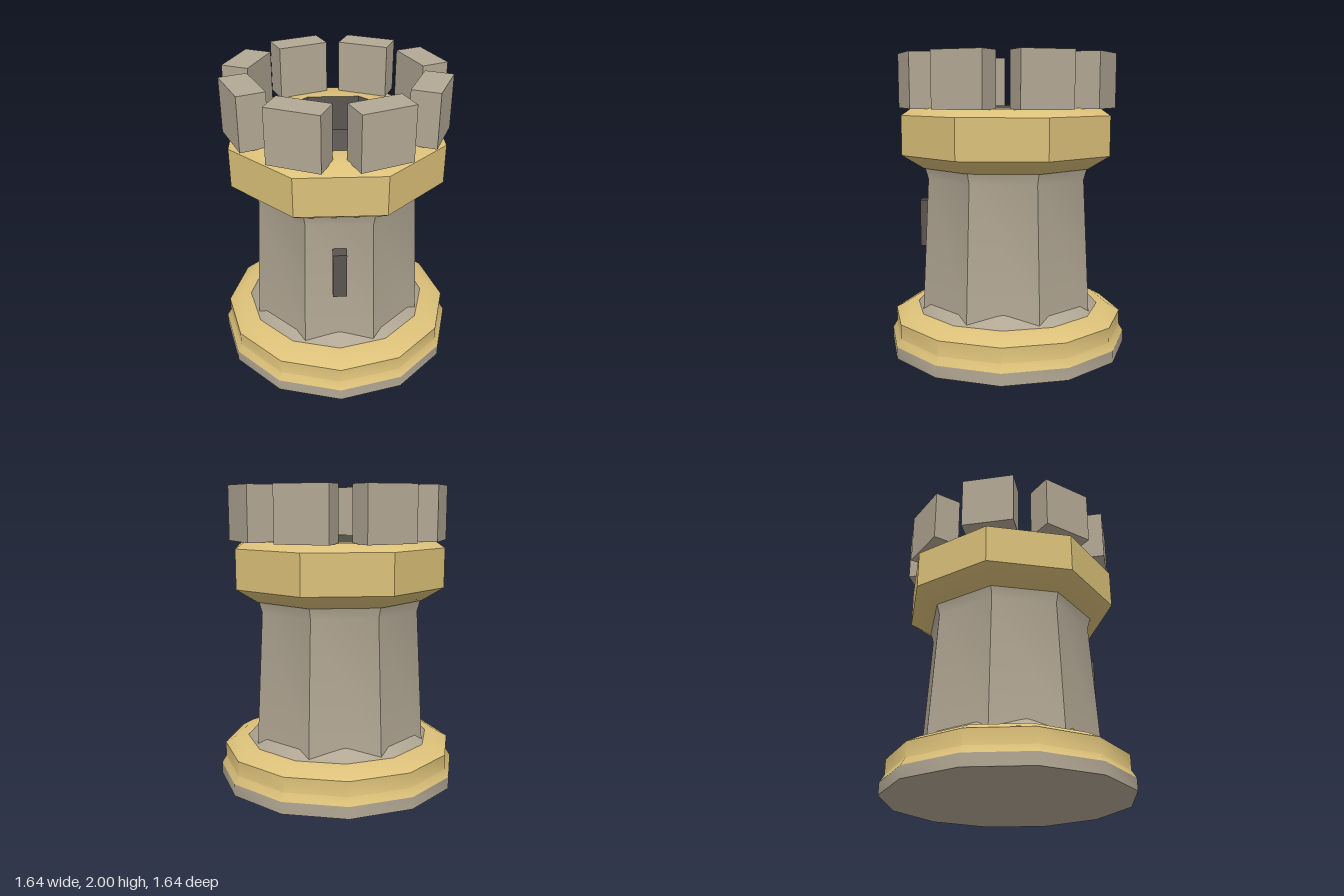
import * as THREE from 'three';
import { toCreasedNormals } from 'three/addons/utils/BufferGeometryUtils.js';

const material = (name, color) => {
  const m = new THREE.MeshStandardMaterial({ color });
  m.name = name;
  return m;
};

export function createModel() {
  const tower = new THREE.Group();
  tower.name = 'castleTower';
  const stone = material('stone', 0xb3a895);
  const gold = material('gold', 0xdcc179);
  const dark = material('dark', 0x5a5550);

  const add = (name, geometry, mat, parent = tower) => {
    const mesh = new THREE.Mesh(geometry, mat);
    mesh.name = name;
    parent.add(mesh);
    return mesh;
  };

  // Many-sided turned part; profile is [radius, y] listed from bottom to top
  const turned = (name, profile, sides, mat) => {
    const points = profile.map(([r, y]) => new THREE.Vector2(r, y));
    const start = sides === 8 ? Math.PI / 8 : 0;
    const geometry = new THREE.LatheGeometry(points, sides, start);
    return add(name, toCreasedNormals(geometry, 0.63), mat);
  };

  // Octagon profiles are given by the distance to the flats
  const octagon = (name, profile, mat) =>
    turned(name, profile.map(([a, y]) => [a / Math.cos(Math.PI / 8), y]), 8, mat);

  // Twelve-sided base
  turned('baseFoot', [[0, 0], [0.82, 0], [0.82, 0.08]], 12, stone);
  turned('baseRing', [[0.82, 0.08], [0.79, 0.13], [0.79, 0.23], [0.7, 0.28], [0.5, 0.28]], 12, gold);
  turned('baseSkirt', [[0.635, 0.275], [0.565, 0.35], [0.5, 0.4]], 12, stone);

  // Octagonal shaft and collar
  octagon('shaft', [[0.56, 0.26], [0.513, 1.18], [0.535, 1.26]], stone);
  octagon('collar', [[0.43, 1.25], [0.54, 1.25], [0.675, 1.34], [0.675, 1.6], [0.605, 1.65], [0.43, 1.65]], gold);

  // Sunken well inside the collar: floor, then inward-facing wall
  octagon('wellFloor', [[0.425, 1.4], [0, 1.4]], dark);
  octagon('wellWall', [[0.43, 1.65], [0.425, 1.4]], dark);

  // Battlements
  const battlements = new THREE.Group();
  battlements.name = 'battlements';
  tower.add(battlements);
  const block = new THREE.BoxGeometry(0.345, 0.355, 0.183);
  for (let i = 0; i < 8; i++) {
    const angle = (i + 0.5) * Math.PI / 4;
    const merlon = add('merlon', block, stone, battlements);
    merlon.position.set(Math.sin(angle) * 0.617, 1.8225, Math.cos(angle) * 0.617);
    merlon.rotation.y = angle;
  }

  // Arrow slit on the front
  add('arrowSlit', new THREE.BoxGeometry(0.09, 0.32, 0.1), dark).position.set(0, 0.85, 0.55);

  return tower;
}
